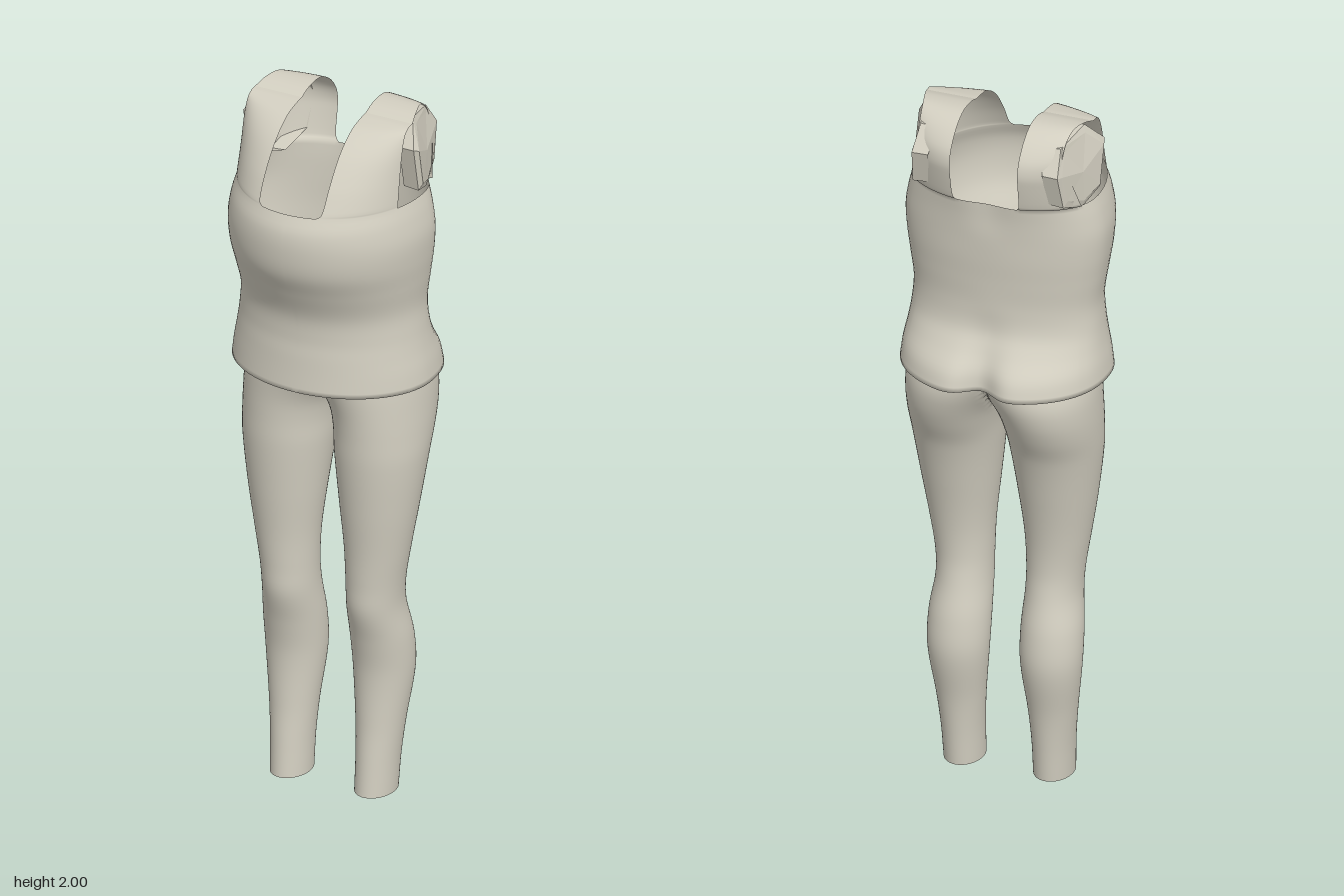
import * as THREE from 'three';
import { mergeVertices } from 'three/addons/utils/BufferGeometryUtils.js';

const fabric = new THREE.MeshStandardMaterial({ color: 0xd2cec0, side: THREE.DoubleSide });
fabric.name = 'pale fabric';

// Smooth interpolation through rows whose first entry is the key
function sample(rows, key) {
  let i = 0;
  while (i < rows.length - 2 && key > rows[i + 1][0]) i++;
  const a = rows[i], b = rows[i + 1], h = b[0] - a[0], t = (key - a[0]) / h;
  const p = rows[Math.max(i - 1, 0)], n = rows[Math.min(i + 2, rows.length - 1)];
  const t2 = t * t, t3 = t2 * t;
  return a.map((av, k) => {
    const ma = (b[k] - p[k]) / (b[0] - p[0]) * h, mb = (n[k] - av) / (n[0] - a[0]) * h;
    return av * (2 * t3 - 3 * t2 + 1) + ma * (t3 - 2 * t2 + t) + b[k] * (3 * t2 - 2 * t3) + mb * (t3 - t2);
  });
}

// Grid of points [row][column] for the left half, mirrored and welded at x = 0
function mirroredSurface(grid, keep) {
  const pos = [], index = [], cols = grid[0].length, count = grid.length * cols;
  for (const side of [1, -1]) for (const row of grid) for (const p of row) pos.push(side * p[0], p[1], p[2]);
  const tri = (a, b, c) => {
    if (pos[a * 3] === 0 && pos[b * 3] === 0 && pos[c * 3] === 0) return; // open centre plane
    index.push(a, b, c, a + count, c + count, b + count);
  };
  for (let i = 0; i < grid.length - 1; i++) for (let j = 0; j < cols - 1; j++) {
    if (!keep(i, j)) continue;
    const a = i * cols + j, d = a + cols;
    tri(a, a + 1, d + 1);
    tri(a, d + 1, d);
  }
  let g = new THREE.BufferGeometry();
  g.setAttribute('position', new THREE.Float32BufferAttribute(pos, 3));
  g.setIndex(index);
  g = mergeVertices(g, 1e-5);
  g.computeVertexNormals();
  return g;
}

// Leggings: y, inner x, outer x, front z, back z of one leg
const LEG = [
  [0, .072, .18, .05, -.095], [.1, .07, .185, .04, -.103], [.2, .063, .195, .03, -.115],
  [.35, .048, .213, .026, -.143], [.45, .046, .213, .042, -.136], [.55, .05, .202, .068, -.112],
  [.62, .05, .206, .071, -.102], [.72, .045, .222, .076, -.107], [.85, .03, .243, .088, -.13],
  [1, .012, .262, .1, -.168], [1.08, .003, .266, .102, -.205], [1.14, -.015, .266, .105, -.228],
  [1.2, -.06, .264, .112, -.24], [1.26, -.14, .258, .122, -.232], [1.32, -.2, .25, .13, -.195],
  [1.4, -.235, .235, .132, -.175],
];
function leggingsGeometry() {
  const grid = [], rows = 84, cols = 72;
  for (let i = 0; i <= rows; i++) {
    const [y, xi, xo, zf, zb] = sample(LEG, 1.4 * i / rows), row = [];
    for (let j = 0; j <= cols; j++) {
      const a = (j % cols) / cols * Math.PI * 2;
      row.push([Math.max(0, (xi + xo) / 2 + (xo - xi) / 2 * Math.cos(a)), y,
        (zf + zb) / 2 - (zf - zb) / 2 * Math.sin(a)]);
    }
    grid.push(row);
  }
  return mirroredSurface(grid, () => true);
}

// Top: y, half width, front z, back z, depth of the centre back fold
const BODY = [
  [1.23, .285, .195, -.287, .052], [1.28, .279, .19, -.268, .04], [1.33, .27, .186, -.225, .02],
  [1.38, .263, .182, -.192, .008], [1.45, .258, .188, -.182, 0], [1.53, .268, .222, -.185, 0],
  [1.6, .277, .255, -.19, 0], [1.67, .28, .266, -.193, 0], [1.73, .27, .262, -.198, .006],
  [1.775, .257, .242, -.205, .012],
];
// Straps: step, y, neck edge x, neck edge z, armhole edge x, armhole edge z
const FRONT = [
  [0, 1.775, .08, .228, .239, .07], [.08, 1.785, .092, .22, .239, .068], [.3, 1.85, .095, .182, .237, .055],
  [.55, 1.92, .095, .125, .236, .04], [.77, 1.965, .095, .06, .235, .022], [.93, 1.98, .095, 0, .235, 0],
  [1, 1.982, .095, -.02, .235, -.02],
];
const BACK = [
  [0, 1.775, .08, -.2, .241, -.12], [.06, 1.785, .092, -.203, .238, -.125], [.2, 1.85, .095, -.216, .225, -.15],
  [.33, 1.89, .095, -.22, .212, -.168], [.46, 1.93, .095, -.208, .204, -.172], [.6, 1.972, .095, -.17, .205, -.148],
  [.75, 1.996, .095, -.12, .212, -.108], [.9, 1.995, .095, -.06, .225, -.058], [1, 1.982, .095, -.02, .235, -.02],
];
const ZC = -.03;
function bodyPoint(y, a, inset = 0) {
  const [, X, zf, zb, fold] = sample(BODY, y);
  const x = a === Math.PI ? 0 : (X - inset) * Math.sin(a), c = Math.cos(a);
  const z = c > 0 ? ZC + (zf - inset - ZC) * c : ZC - (ZC - zb - inset) * Math.pow(-c, .85);
  return [x, y, z + (c < 0 ? fold * Math.exp(-((x / .055) ** 2)) : 0)];
}
function topGeometry() {
  // Angles of the neck edge and armhole edges, front to back
  const neck = Math.asin(.08 / .257), stops = [0, neck, Math.acos(.1 / .272),
    Math.PI - Math.acos(Math.pow(.09 / .175, 1 / .85)), Math.PI - neck, Math.PI];
  const counts = [8, 18, 10, 18, 8], angles = [0], starts = [0];
  counts.forEach((n, s) => {
    for (let k = 1; k <= n; k++) angles.push(k === n ? stops[s + 1] : stops[s] + (stops[s + 1] - stops[s]) * k / n);
    starts.push(angles.length - 1);
  });
  // Hem lip and body
  const grid = [angles.map(a => bodyPoint(1.23, a, .012))], bodyRows = 44, strapRows = 30;
  for (let i = 0; i <= bodyRows; i++) {
    const y = 1.23 + .545 * i / bodyRows;
    grid.push(angles.map(a => bodyPoint(y, a)));
  }
  // Straps: the body's own arcs rescaled between neck edge and armhole edge
  const base = grid[grid.length - 1], lastBody = grid.length - 1;
  const strap = (row, table, t, from, to) => {
    const [, y, xi, zi, xo, zo] = sample(table, t), n = base[from], m = base[to];
    for (let j = Math.min(from, to); j <= Math.max(from, to); j++) {
      const fx = (base[j][0] - n[0]) / (m[0] - n[0]), fz = (base[j][2] - n[2]) / (m[2] - n[2]);
      row[j] = [xi + (xo - xi) * fx, y, zi + (zo - zi) * fz];
    }
  };
  for (let i = 1; i <= strapRows; i++) {
    const row = base.map(p => [...p]);
    strap(row, FRONT, i / strapRows, starts[1], starts[2]);
    strap(row, BACK, i / strapRows, starts[4], starts[3]);
    grid.push(row);
  }
  return mirroredSurface(grid, (i, j) => i < lastBody ||
    (j >= starts[1] && j < starts[2]) || (j >= starts[3] && j < starts[4]));
}

// Faceted armhole cover: outline as z, y with a rim turned inward
function armholeCover(side) {
  const outline = [[.01, 1.92], [-.02, 1.79], [-.1, 1.765], [-.185, 1.8], [-.212, 1.9], [-.165, 1.965], [-.05, 1.985]];
  const ring = (scale, dx) => outline.map(([z, y]) =>
    [.258 + .25 * z - Math.max(0, y - 1.9) * .3 + dx, 1.875 + (y - 1.875) * scale, -.1 + (z + .1) * scale]);
  const rings = [ring(.97, -.045), ring(1, 0), ring(.82, .006)], centre = [.236, 1.87, -.1], pos = [];
  const tri = (...pts) => (side > 0 ? pts : pts.reverse()).forEach(p => pos.push(side * p[0], p[1], p[2]));
  outline.forEach((_, k) => {
    const n = (k + 1) % outline.length;
    for (let r = 0; r < 2; r++) {
      tri(rings[r][k], rings[r + 1][n], rings[r + 1][k]);
      tri(rings[r][k], rings[r][n], rings[r + 1][n]);
    }
    tri(rings[2][k], rings[2][n], centre);
  });
  const g = new THREE.BufferGeometry();
  g.setAttribute('position', new THREE.Float32BufferAttribute(pos, 3));
  g.computeVertexNormals();
  return g;
}

export function createModel() {
  const model = new THREE.Group();
  model.name = 'outfit';
  const add = (name, geometry) => {
    const mesh = new THREE.Mesh(geometry, fabric);
    mesh.name = name;
    model.add(mesh);
  };
  add('leggings', leggingsGeometry());
  add('tankTop', topGeometry());
  add('leftArmholeCover', armholeCover(1));
  add('rightArmholeCover', armholeCover(-1));
  return model;
}
